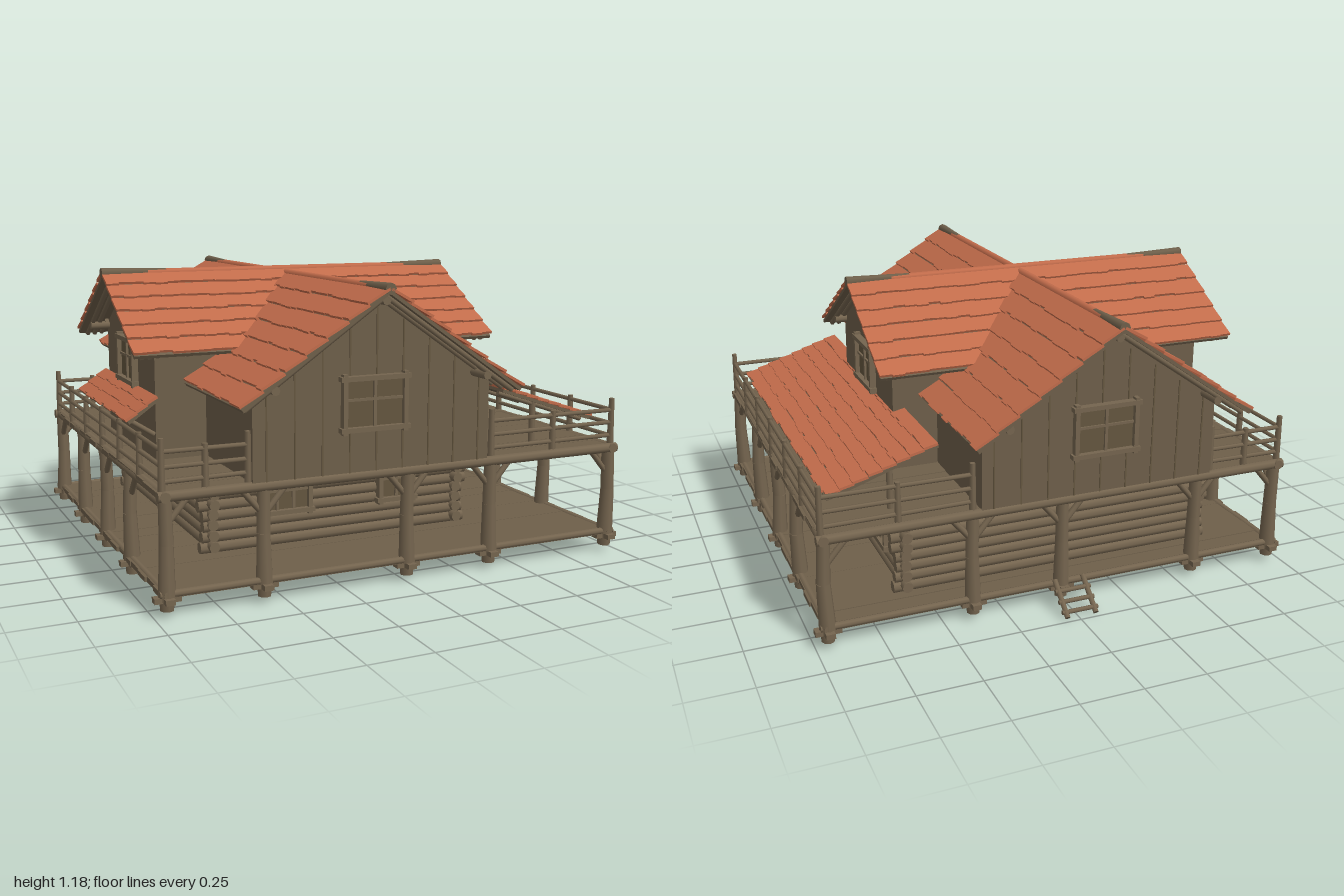
import * as THREE from 'three';
import { mergeGeometries } from 'three/addons/utils/BufferGeometryUtils.js';

const mat = (name, color) => {
  const m = new THREE.MeshStandardMaterial({ color });
  m.name = name;
  return m;
};

export function createModel() {
  const wood = mat('weathered wood', 0x6e5f4a);
  const log = mat('log wood', 0x75654f);
  const pane = mat('window pane', 0x64563f);
  const tile = mat('clay tile', 0xc26c4b);
  const house = new THREE.Group();
  house.name = 'house';

  let seed = 7;
  const rand = () => (seed = (seed * 16807) % 2147483647) / 2147483647;

  const add = (name, geo, m = wood, parent = house) => {
    const mesh = new THREE.Mesh(geo, m);
    mesh.name = name;
    parent.add(mesh);
    return mesh;
  };
  const boxGeo = (x0, x1, y0, y1, z0, z1) =>
    new THREE.BoxGeometry(x1 - x0, y1 - y0, z1 - z0).translate((x0 + x1) / 2, (y0 + y1) / 2, (z0 + z1) / 2);
  const box = (name, x0, x1, y0, y1, z0, z1, m) => add(name, boxGeo(x0, x1, y0, y1, z0, z1), m);
  // Round timber from point a to point b
  const rodGeo = (a, b, r0, r1 = r0, sides = 8) => {
    const p = new THREE.Vector3(...a), d = new THREE.Vector3(...b).sub(p), l = d.length();
    const q = new THREE.Quaternion().setFromUnitVectors(new THREE.Vector3(0, 1, 0), d.normalize());
    return new THREE.CylinderGeometry(r1, r0, l, sides).translate(0, l / 2, 0)
      .applyQuaternion(q).translate(...a);
  };
  const merged = (name, list, m) => add(name, mergeGeometries(list), m);

  // Decks, laid from planks running along x
  const deck = (name, y0, y1) => {
    const planks = [];
    for (let i = 0; i < 17; i++) {
      const z = -0.85 + i * 0.1, e = 0.965 + rand() * 0.015;
      planks.push(boxGeo(-e, e, y0, y1 - rand() * 0.004, z, z + 0.1));
    }
    merged(name, planks, wood);
  };
  deck('groundDeck', 0.08, 0.102);
  deck('upperDeck', 0.44, 0.462);
  const edge = [];
  for (const s of [-1, 1]) for (const [y, r] of [[0.092, 0.014], [0.445, 0.02]]) {
    edge.push(rodGeo([-0.98, y, s * 0.84], [0.98, y, s * 0.84], r));
    edge.push(rodGeo([s * 0.955, y, -0.86], [s * 0.955, y, 0.86], r));
  }
  merged('deckEdgeBeams', edge, log);

  // Perimeter posts with feet and diagonal braces
  const posts = [], feet = [], braces = [];
  const foot = (x, z, r = 0.03) => {
    feet.push(rodGeo([x, 0.03, z], [x, 0.085, z], r * 0.85, r));
    feet.push(boxGeo(x - 0.05, x + 0.05, 0.062, 0.082, z - 0.018, z + 0.018));
    feet.push(boxGeo(x - 0.018, x + 0.018, 0.062, 0.082, z - 0.05, z + 0.05));
  };
  const post = (x, z, dx, dz) => {
    const j = (rand() - 0.5) * 0.02;
    posts.push(rodGeo([x, 0.08, z], [x + j, 0.27, z], 0.033, 0.027), rodGeo([x + j, 0.27, z], [x, 0.45, z], 0.027, 0.025));
    foot(x, z);
    for (const s of [-1, 1]) {
      const ex = x + dx * s * 0.085, ez = z + dz * s * 0.085;
      if (Math.abs(ex) < 0.96 && Math.abs(ez) < 0.86) braces.push(rodGeo([x, 0.335, z], [ex, 0.435, ez], 0.012));
    }
  };
  for (const s of [-1, 1]) {
    for (const x of [-0.95, -0.58, 0.01, 0.38, 0.95]) post(x, s * 0.83, 1, 0);
    for (const z of [-0.39, 0, 0.38]) post(s * 0.95, z, 0, 1);
    for (const z of [-0.83, 0.83]) braces.push(rodGeo([s * 0.95, 0.335, z], [s * 0.95, 0.435, z * 0.9], 0.012));
  }
  for (let i = 0; i < 6; i++) for (let k = 0; k < 5; k++)
    foot(-0.65 + i * 0.24 + (rand() - 0.5) * 0.08, -0.62 + k * 0.26 + (rand() - 0.5) * 0.06, 0.026);
  merged('posts', posts, log);
  merged('postFeet', feet, log);
  merged('postBraces', braces, log);

  // Upper railing
  const rails = [];
  const railing = (a, b, n) => {
    for (const y of [0.495, 0.548, 0.603])
      rails.push(rodGeo([a[0], y, a[1]], [b[0], y + (rand() - 0.5) * 0.01, b[1]], 0.009, 0.009, 6));
    for (let i = 0; i <= n; i++) {
      const t = i / n, x = a[0] + (b[0] - a[0]) * t, z = a[1] + (b[1] - a[1]) * t;
      rails.push(rodGeo([x, 0.45, z], [x, i % n ? 0.62 : 0.65, z], 0.014, 0.011, 6));
    }
  };
  for (const s of [-1, 1]) {
    railing([s * 0.96, -0.83], [s * 0.96, 0.83], 6);
    railing([-0.96, s * 0.83], [-0.64, s * 0.83], 2);
    railing([0.38, s * 0.83], [0.96, s * 0.83], 2);
  }
  merged('railing', rails, log);

  // Log cabin on the ground deck
  box('cabinCore', -0.66, 0.42, 0.1, 0.44, -0.69, 0.47);
  box('cabinWingCore', 0.4, 0.61, 0.1, 0.44, -0.69, -0.12);
  const logs = [];
  for (let i = 0; i < 8; i++) {
    const y = 0.121 + i * 0.042, e = 0.03 + rand() * 0.025;
    const alongX = (x0, x1, z) => logs.push(rodGeo([x0 - e, y, z], [x1 + e, y, z], 0.024));
    const alongZ = (z0, z1, x) => logs.push(rodGeo([x, y + 0.01, z0 - e], [x, y + 0.01, z1 + e], 0.022));
    alongX(-0.66, 0.42, 0.47);
    alongX(-0.66, 0.61, -0.69);
    alongZ(-0.69, 0.47, -0.66);
    alongZ(0.34, 0.47, 0.42);
    alongZ(-0.69, -0.12, 0.61);
  }
  merged('cabinLogs', logs, log);
  box('entryWall', 0.4, 0.44, 0.1, 0.44, -0.12, 0.31);
  box('wingFrontWall', 0.42, 0.6, 0.1, 0.44, -0.14, -0.1);
  add('tub', new THREE.CylinderGeometry(0.042, 0.03, 0.08, 12).translate(0.5, 0.145, 0.26), log);

  // Gabled upper walls: pentagon in cross-section, extruded along the ridge
  const gableWall = (name, half, eave, apex, length) => {
    const s = new THREE.Shape([[-half, 0.45], [half, 0.45], [half, eave], [0, apex], [-half, eave]]
      .map(p => new THREE.Vector2(...p)));
    const g = new THREE.ExtrudeGeometry(s, { depth: length, bevelEnabled: false }).translate(0, 0, -length / 2);
    return add(name, g, wood);
  };
  gableWall('mainUpperWalls', 0.49, 0.785, 1.12, 1.7).position.x = -0.14;
  const cross = gableWall('crossUpperWalls', 0.35, 0.925, 1.14, 1.37);
  cross.rotation.y = Math.PI / 2;
  cross.position.x = -0.15;

  // Thin board seams on the gable ends
  const seams = [];
  for (const s of [-1, 1]) for (let i = -4; i <= 4; i++)
    seams.push(boxGeo(-0.14 + i * 0.11, -0.134 + i * 0.11, 0.46, 1.1 - Math.abs(i) * 0.0755, s * 0.851 - 0.002, s * 0.851 + 0.002));
  merged('boardSeams', seams, pane);

  // One tiled slope: top edge along z, falling towards +x, with ragged lapped rows
  const slope = (parent, run, drop, length, rows) => {
    const l = Math.hypot(run, drop), h = l / rows, list = [];
    const n = Math.round(length / 0.05), w = length / n;
    for (let r = 0; r < rows; r++) {
      const s = new THREE.Shape();
      s.moveTo(0, -length / 2);
      for (let i = 0; i < n; i++) {
        const e = h + (rand() - 0.4) * 0.012, y = -length / 2 + i * w;
        s.lineTo(e, y);
        s.lineTo(e, y + w);
      }
      s.lineTo(0, length / 2);
      list.push(new THREE.ExtrudeGeometry(s, { depth: 0.01, bevelEnabled: false })
        .rotateX(-Math.PI / 2).rotateZ(0.1).translate(r * h, 0, 0));
    }
    const g = new THREE.Group();
    g.name = 'roofSlope';
    add('roofTiles', mergeGeometries(list), tile, g);
    add('roofBoards', boxGeo(0, l, -0.012, 0.001, -length / 2 + 0.005, length / 2 - 0.005), wood, g);
    g.rotation.z = -Math.atan2(drop, run);
    parent.add(g);
    return g;
  };
  // Two slopes, ridge cap, bare ridge boards at the ends, purlins and rafters
  const gableRoof = (name, run, drop, length, rows, purlinX, wallHalf, bare) => {
    const roof = new THREE.Group();
    roof.name = name;
    for (const a of [0, Math.PI]) {
      const side = new THREE.Group();
      side.name = 'roofSide';
      side.rotation.y = a;
      slope(side, run, drop, length, rows);
      roof.add(side);
    }
    const h = length / 2, k = drop / run, beams = [], caps = [];
    add('ridgeCap', rodGeo([0, 0, -h + 0.02], [0, 0, h - 0.02], 0.018), tile, roof);
    for (const s of [-1, 1]) {
      caps.push(rodGeo([0, 0.004, s * (h - bare)], [0, 0.004, s * h], 0.014, 0.022));
      for (const p of [-purlinX, 0, purlinX]) {
        const y = -Math.abs(p) * k - 0.04;
        beams.push(rodGeo([p, y, s * (h - 0.25)], [p, y, s * (h - 0.03)], 0.017));
      }
      for (const z of [wallHalf + 0.02, h - 0.04]) for (const t of [-1, 1])
        beams.push(rodGeo([0, -0.024, s * z], [t * (run - 0.02), -drop - 0.01, s * z], 0.011, 0.011, 6));
    }
    for (const t of [-1, 1]) for (let z = -h + 0.1; z < h - 0.05; z += 0.12)
      beams.push(rodGeo([t * run * 0.72, -drop * 0.72 - 0.022, z], [t * (run - 0.02), -drop - 0.008, z], 0.01, 0.01, 6));
    add('bareRidgeEnds', mergeGeometries(caps), wood, roof);
    add('rafters', mergeGeometries(beams), log, roof);
    house.add(roof);
    return roof;
  };
  gableRoof('mainRoof', 0.565, 0.39, 1.96, 7, 0.43, 0.85, 0.24).position.set(-0.15, 1.143, 0);
  const crossRoof = gableRoof('crossRoof', 0.45, 0.275, 1.56, 6, 0.33, 0.69, 0.27);
  crossRoof.position.set(-0.165, 1.158, 0);
  crossRoof.rotation.y = Math.PI / 2;

  // Porch roof on the left side and small awning on the right
  const porch = new THREE.Group();
  porch.name = 'porchRoof';
  slope(porch, 0.43, 0.145, 1.51, 8);
  porch.position.set(0.485, 0.707, 0);
  const awning = new THREE.Group();
  awning.name = 'awning';
  slope(awning, 0.12, 0.085, 0.78, 3);
  awning.position.set(-0.835, 0.71, 0);
  awning.rotation.y = Math.PI;
  house.add(porch, awning);
  const poles = [];
  for (const z of [-0.7, -0.25, 0.25, 0.7]) {
    poles.push(rodGeo([0.66, 0.45, z], [0.66, 0.645, z], 0.013));
    poles.push(rodGeo([0.49, 0.685, z], [0.9, 0.547, z], 0.01));
  }
  for (const z of [-0.34, 0.34]) poles.push(rodGeo([-0.84, 0.56, z], [-0.94, 0.625, z], 0.01));
  merged('roofPoles', poles, log);

  // Windows: pane, frame and glazing bars, built facing +z
  const windowAt = (w, h, bars, x, y, z, turn) => {
    const g = new THREE.Group(), f = 0.018, a = w / 2, b = h / 2;
    g.name = 'window';
    add('pane', boxGeo(-a, a, -b, b, 0, 0.006), pane, g);
    const parts = [];
    for (const s of [-1, 1]) {
      parts.push(boxGeo(s * a - f / 2, s * a + f / 2, -b - f, b + f, -0.02, 0.024));
      parts.push(boxGeo(-a - f, a + f, s * b - f / 2, s * b + f / 2, -0.02, 0.028));
    }
    for (let i = 1; i <= bars; i++) {
      const p = -a + (w * i) / (bars + 1);
      parts.push(boxGeo(p - 0.006, p + 0.006, -b, b, 0, 0.015));
    }
    parts.push(boxGeo(-a, a, 0.01, 0.02, 0, 0.013));
    add('windowFrame', mergeGeometries(parts), log, g);
    g.position.set(x, y, z);
    g.rotation.y = turn;
    house.add(g);
  };
  const q = Math.PI / 2;
  windowAt(0.25, 0.19, 1, -0.15, 0.72, 0.852, 0);
  windowAt(0.25, 0.19, 1, -0.15, 0.72, -0.852, Math.PI);
  windowAt(0.22, 0.17, 1, 0.537, 0.81, 0, q);
  windowAt(0.22, 0.17, 1, -0.837, 0.81, 0, -q);
  windowAt(0.21, 0.14, 2, -0.36, 0.31, 0.496, 0);
  windowAt(0.15, 0.14, 1, 0.135, 0.31, 0.496, 0);
  windowAt(0.15, 0.14, 1, 0.636, 0.31, -0.51, q);

  // Plank doors with frames
  const doorAt = (h, x, y, z, s) => {
    const parts = [boxGeo(-0.006, 0.006, 0, h, -0.075, 0.075), boxGeo(-0.012, 0.012, h - 0.01, h + 0.01, -0.095, 0.095)];
    for (const t of [-0.085, 0.085]) parts.push(boxGeo(-0.012, 0.012, 0, h, t - 0.009, t + 0.009));
    merged('door', parts, log).position.set(x, y, z);
    box('doorHandle', x + s * 0.006 - 0.006, x + s * 0.006 + 0.006, y + h * 0.45, y + h * 0.52, z - 0.06, z - 0.045, pane);
  };
  doorAt(0.29, 0.445, 0.102, 0.21, 1);
  doorAt(0.24, 0.353, 0.462, 0.56, 1);
  doorAt(0.24, -0.633, 0.462, -0.56, -1);

  // Ladder at the back
  const ladder = [];
  for (const x of [-0.07, 0.05]) ladder.push(rodGeo([x, 0.015, -0.985], [x, 0.115, -0.86], 0.011));
  for (const t of [0.15, 0.42, 0.7])
    ladder.push(rodGeo([-0.085, 0.015 + t * 0.1, -0.985 + t * 0.125], [0.065, 0.015 + t * 0.1, -0.985 + t * 0.125], 0.009));
  merged('ladder', ladder, log);

  return house;
}
